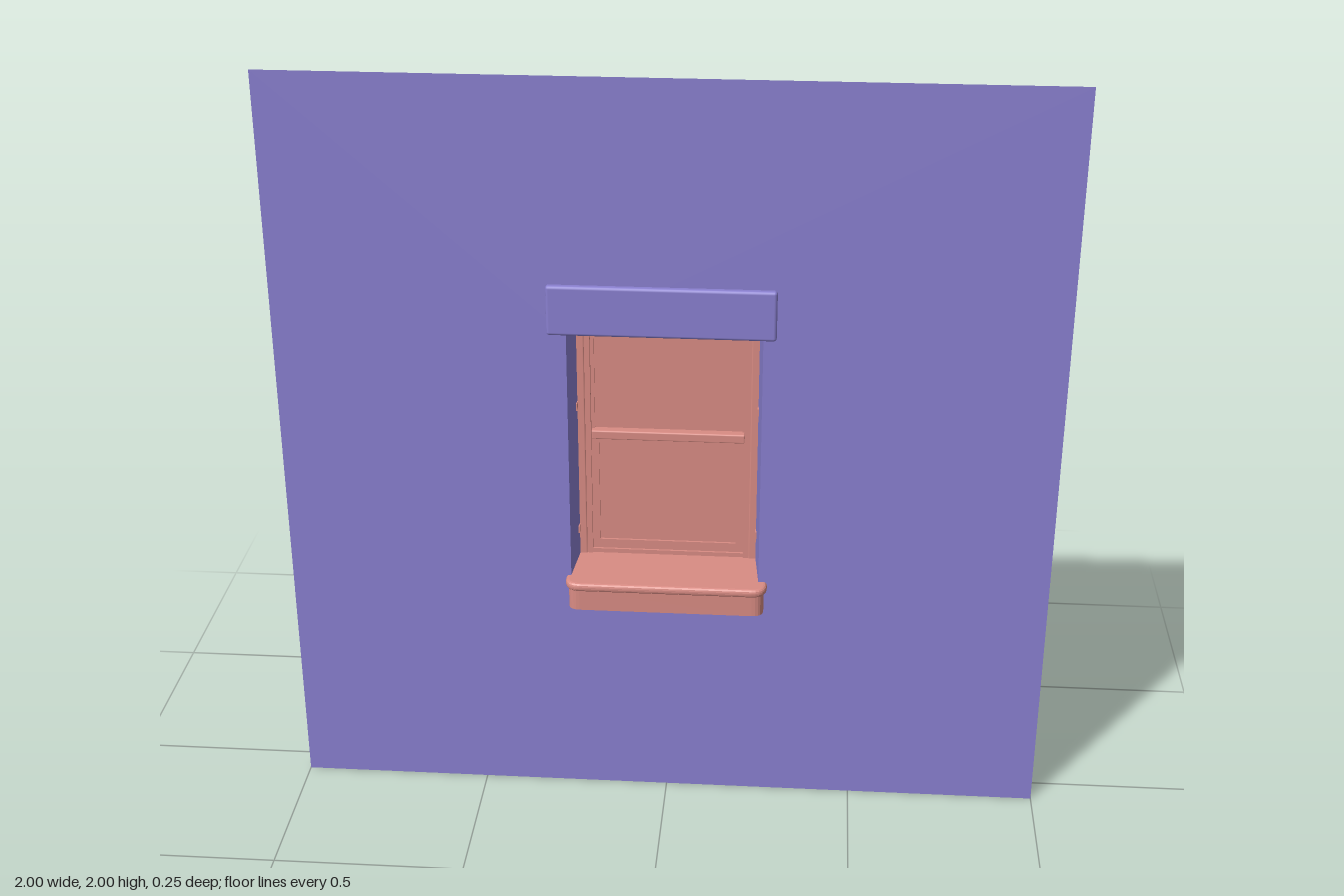
import * as THREE from 'three';
import { RoundedBoxGeometry } from 'three/addons/geometries/RoundedBoxGeometry.js';

const wallMat = new THREE.MeshStandardMaterial({ color: 0x8a80d0, side: THREE.DoubleSide });
const frameMat = new THREE.MeshStandardMaterial({ color: 0xd98c84, side: THREE.DoubleSide });
const CX = -0.006; // window centre line
const WALL_Z = 0.075;

function add(group, name, geometry, material) {
  const mesh = new THREE.Mesh(geometry, material);
  mesh.name = name;
  group.add(mesh);
  return mesh;
}

// Box given by its limits, with optional rounded edges
function box(group, name, [x0, x1], [y0, y1], [z0, z1], r = 0, material = frameMat) {
  const w = x1 - x0, h = y1 - y0, d = z1 - z0;
  const geo = r ? new RoundedBoxGeometry(w, h, d, 2, r) : new THREE.BoxGeometry(w, h, d);
  add(group, name, geo, material).position.set((x0 + x1) / 2, (y0 + y1) / 2, (z0 + z1) / 2);
}

// Rectangle with rounded corners in the x-z plan, raised in y
function plate(group, name, halfW, z0, z1, y0, y1, r, bevel) {
  const s = new THREE.Shape();
  const w = halfW - bevel, a = z0 + bevel, b = z1 - bevel;
  s.moveTo(-w + r, -b);
  s.lineTo(w - r, -b).quadraticCurveTo(w, -b, w, -b + r);
  s.lineTo(w, -a - r).quadraticCurveTo(w, -a, w - r, -a);
  s.lineTo(-w + r, -a).quadraticCurveTo(-w, -a, -w, -a - r);
  s.lineTo(-w, -b + r).quadraticCurveTo(-w, -b, -w + r, -b);
  const geo = new THREE.ExtrudeGeometry(s, {
    depth: y1 - y0 - 2 * bevel, bevelEnabled: bevel > 0, bevelSize: bevel,
    bevelThickness: bevel, bevelSegments: 3, curveSegments: 6,
  });
  geo.rotateX(-Math.PI / 2);
  add(group, name, geo, frameMat).position.y = y0 + bevel;
}

// Sash: two stiles, two rails and a pane
function sash(group, name, halfW, y0, y1, z0, z1, stile, bottomRail, topRail) {
  const g = new THREE.Group();
  g.name = name;
  const zs = [z0, z1], zm = (z0 + z1) / 2;
  for (const s of [-1, 1]) {
    const xs = [CX + s * halfW, CX + s * (halfW - stile)].sort((a, b) => a - b);
    box(g, 'stile', xs, [y0, y1], zs);
  }
  const span = [CX - halfW + stile, CX + halfW - stile];
  box(g, 'bottomRail', span, [y0, y0 + bottomRail], zs);
  box(g, 'topRail', span, [y1 - topRail, y1], zs);
  box(g, 'pane', span, [y0 + bottomRail, y1 - topRail], [zm - 0.002, zm + 0.002]);
  group.add(g);
}

export function createModel() {
  const model = new THREE.Group();
  model.name = 'windowInWall';

  // Thin wall with the window opening
  const wall = new THREE.Shape();
  wall.moveTo(-1, 0).lineTo(1, 0).lineTo(1, 2).lineTo(-1, 2).closePath();
  const hole = new THREE.Path();
  hole.moveTo(-0.252, 0.63).lineTo(-0.252, 1.338).lineTo(0.242, 1.338).lineTo(0.242, 0.63).closePath();
  wall.holes.push(hole);
  add(model, 'wall', new THREE.ShapeGeometry(wall), wallMat).position.z = WALL_Z;

  // Reveal: sides and top running back from the opening to the frame
  const outer = [[-0.252, 0.63], [-0.252, 1.338], [0.242, 1.338], [0.242, 0.63]];
  const inner = [[-0.241, 0.63], [-0.241, 1.334], [0.229, 1.334], [0.229, 0.63]];
  const pos = [];
  for (let i = 0; i < 3; i++) {
    const a = [...outer[i], WALL_Z], b = [...outer[i + 1], WALL_Z];
    const c = [...inner[i + 1], -0.06], d = [...inner[i], -0.06];
    pos.push(...a, ...b, ...c, ...a, ...c, ...d);
  }
  const reveal = new THREE.BufferGeometry();
  reveal.setAttribute('position', new THREE.Float32BufferAttribute(pos, 3));
  reveal.computeVertexNormals();
  add(model, 'reveal', reveal, wallMat);

  // Lintel board above the opening
  box(model, 'lintel', [-0.3, 0.275], [1.34, 1.472], [0.068, 0.09], 0.008, wallMat);

  // Sill: block with a rounded nosing on top
  plate(model, 'sillBlock', 0.257, -0.118, 0.118, 0.57, 0.632, 0.03, 0);
  plate(model, 'sillNosing', 0.265, -0.127, 0.125, 0.627, 0.65, 0.03, 0.009);

  // Fixed frame: stepped jambs, head and bottom strip
  const frame = new THREE.Group();
  frame.name = 'frame';
  model.add(frame);
  for (const s of [-1, 1]) {
    const strip = (name, a, b, y, z, r) =>
      box(frame, name, [CX + s * a, CX + s * b].sort((p, q) => p - q), y, z, r);
    strip('jamb', 0.216, 0.242, [0.645, 1.348], [-0.097, -0.05], 0.004);
    strip('jambStop', 0.202, 0.22, [0.645, 1.335], [-0.064, -0.052]);
    strip('balanceRod', 0.197, 0.212, [0.99, 1.19], [-0.101, -0.09], 0.003);
    // Small fixing clips beside the jamb
    strip('topClip', 0.236, 0.247, [1.337, 1.35], [-0.055, 0.015]);
    for (const y of [0.72, 1.08]) strip('sideClip', 0.234, 0.247, [y, y + 0.02], [-0.06, -0.03]);
  }
  box(frame, 'head', [CX - 0.22, CX + 0.22], [1.312, 1.346], [-0.095, -0.055], 0.004);
  box(frame, 'bottomStrip', [CX - 0.22, CX + 0.22], [0.64, 0.662], [-0.095, -0.055]);
  const bar = add(frame, 'headBar', new THREE.CylinderGeometry(0.008, 0.008, 0.43, 12), frameMat);
  bar.rotation.z = Math.PI / 2;
  bar.position.set(CX, 1.338, -0.093);

  // Sliding sashes, the upper one behind the lower one
  sash(model, 'upperSash', 0.206, 0.975, 1.318, -0.094, -0.078, 0.012, 0.03, 0.018);
  sash(model, 'lowerSash', 0.204, 0.655, 1.0, -0.077, -0.061, 0.022, 0.033, 0.024);
  box(model, 'meetingRail', [CX - 0.202, CX + 0.202], [0.985, 1.01], [-0.098, -0.06], 0.004);
  return model;
}
